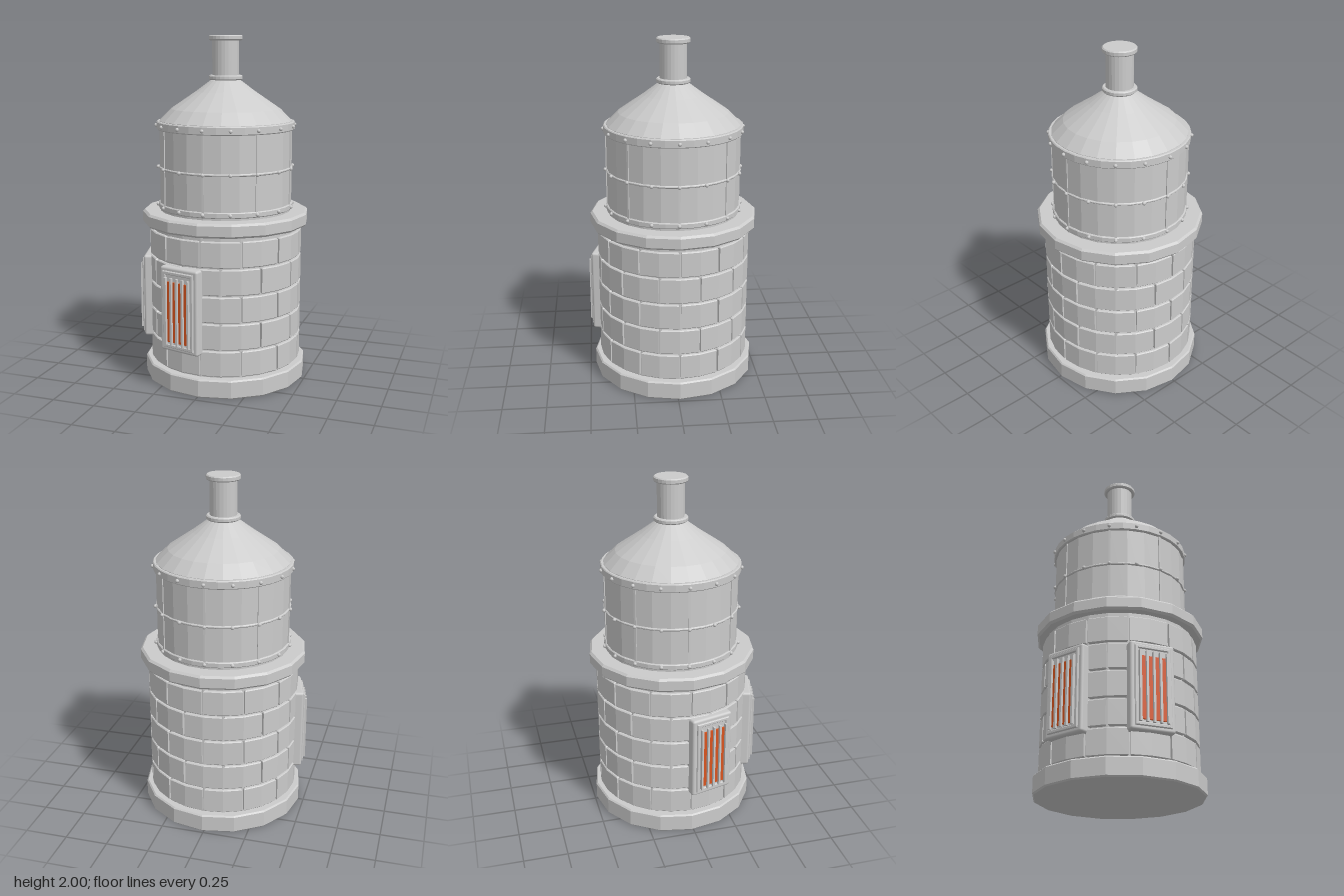
import * as THREE from 'three';
import { RoundedBoxGeometry } from 'three/addons/geometries/RoundedBoxGeometry.js';

const grey = new THREE.MeshStandardMaterial({ color: 0xcccccc });
const facet = new THREE.MeshStandardMaterial({ color: 0xcccccc, flatShading: true });
const glow = new THREE.MeshStandardMaterial({ color: 0xd9541e });

function add(parent, name, geometry, material = facet) {
  const mesh = new THREE.Mesh(geometry, material);
  mesh.name = name;
  parent.add(mesh);
  return mesh;
}

// Turned part from [radius, height] pairs, listed bottom to top
function turned(points, sides) {
  return new THREE.LatheGeometry(points.map(([r, y]) => new THREE.Vector2(r, y)), sides);
}

// Disc or ring with chamfered rims
function slab(r, y0, y1, sides, c) {
  return turned([[0, y0], [r - c, y0], [r, y0 + c], [r, y1 - c], [r - c, y1], [0, y1]], sides);
}

// Curved block between two angles, measured from +z towards +x
function curvedBlock(r0, r1, a0, a1, y0, y1, steps, bevel) {
  const at = (r, t) => {
    const a = a0 + (a1 - a0) * t;
    return new THREE.Vector2(r * Math.sin(a), r * Math.cos(a));
  };
  const pts = [];
  for (let i = 0; i <= steps; i++) pts.push(at(r1, i / steps));
  for (let i = steps; i >= 0; i--) pts.push(at(r0, i / steps));
  const geometry = new THREE.ExtrudeGeometry(new THREE.Shape(pts), {
    depth: y1 - y0 - 2 * bevel, bevelThickness: bevel, bevelSize: bevel, bevelOffset: -bevel, bevelSegments: 1,
  });
  return geometry.rotateX(Math.PI / 2).translate(0, y1 - bevel, 0);
}

// Rectangular frame standing in the xy plane
function frame(w, h, border, depth) {
  const rect = (target, x, y) =>
    target.moveTo(-x, -y).lineTo(x, -y).lineTo(x, y).lineTo(-x, y).closePath();
  const shape = rect(new THREE.Shape(), w / 2, h / 2);
  shape.holes.push(rect(new THREE.Path(), w / 2 - border, h / 2 - border));
  const b = 0.004;
  return new THREE.ExtrudeGeometry(shape, {
    depth: depth - b, bevelThickness: b, bevelSize: b, bevelOffset: -b, bevelSegments: 1,
  });
}

// Glowing grate, facing +z before it is turned around the tower
function createGrate(angle) {
  const grate = new THREE.Group();
  grate.name = 'grate';
  add(grate, 'grateCasing', new RoundedBoxGeometry(0.255, 0.49, 0.08, 2, 0.014), grey).position.set(0, 0.488, 0.434);
  add(grate, 'grateFrame', frame(0.208, 0.445, 0.02, 0.012)).position.set(0, 0.488, 0.472);
  add(grate, 'grateGlow', new THREE.BoxGeometry(0.145, 0.35, 0.02), glow).position.set(0, 0.475, 0.474);
  for (let i = -2; i <= 2; i++) {
    add(grate, 'grateBar', new THREE.BoxGeometry(0.012, 0.39, 0.018)).position.set(i * 0.0385, 0.48, 0.489);
  }
  grate.rotation.y = angle;
  return grate;
}

export function createModel() {
  const model = new THREE.Group();
  model.name = 'furnaceTower';
  const tower = new THREE.Group();
  tower.name = 'tower';
  tower.position.set(0.008, 0, -0.011);
  model.add(tower);

  // Stone base, core and ledge
  add(tower, 'baseSlab', slab(0.478, 0, 0.108, 16, 0.008));
  add(tower, 'brickCore', turned([[0, 0.1], [0.428, 0.1], [0.428, 0.93], [0, 0.93]], 24));
  add(tower, 'ledgeSlab', slab(0.486, 0.92, 1.0, 16, 0.012));

  // Five courses of curved bricks, staggered by half a brick
  const bricks = new THREE.Group();
  bricks.name = 'bricks';
  tower.add(bricks);
  const step = Math.PI / 6, joint = 0.013;
  for (let row = 0; row < 5; row++) {
    const y = 0.118 + row * 0.157;
    for (let i = 0; i < 12; i++) {
      const a = (i + (row % 2) / 2) * step;
      add(bricks, 'brick', curvedBlock(0.41, 0.446, a + joint, a + step - joint, y, y + 0.147, 2, 0.005));
    }
  }

  // Metal drum with bands, seam strips and rivets
  add(tower, 'drum', turned([[0, 0.99], [0.385, 0.99], [0.385, 1.5], [0, 1.5]], 24));
  const bands = [[1.012, 1.045, 0.393], [1.243, 1.258, 0.391], [1.468, 1.516, 0.4]];
  for (const [y0, y1, r] of bands) {
    add(tower, 'band', slab(r, y0, y1, 32, 0.005));
  }
  for (let i = 0; i < 8; i++) {
    const a = i * Math.PI / 4;
    add(tower, 'seamStrip', curvedBlock(0.37, 0.39, a - 0.016, a + 0.016, 1.04, 1.47, 1, 0.001));
  }
  const rivet = new THREE.SphereGeometry(0.011, 8, 6);
  for (const [y, r] of [[1.029, 0.395], [1.25, 0.393], [1.491, 0.402]]) {
    for (let i = 0; i < 16; i++) {
      const a = i * Math.PI / 8;
      add(tower, 'rivet', rivet, grey).position.set(r * Math.sin(a), y, r * Math.cos(a));
    }
  }

  // Domed cone roof
  add(tower, 'roof', turned([[0, 1.5], [0.384, 1.5], [0.384, 1.518], [0.316, 1.585],
    [0.173, 1.682], [0.088, 1.745], [0, 1.76]], 24));

  // Chimney with a collar and a rim
  add(tower, 'chimneyCollar', slab(0.097, 1.748, 1.775, 24, 0.006));
  add(tower, 'chimneyPipe', turned([[0.077, 1.76], [0.077, 1.985]], 24));
  add(tower, 'chimneyRim', slab(0.096, 1.97, 2.0, 24, 0.006));

  // Two grates on the front right quarter
  tower.add(createGrate(-Math.PI / 12), createGrate(-5 * Math.PI / 12));
  return model;
}
